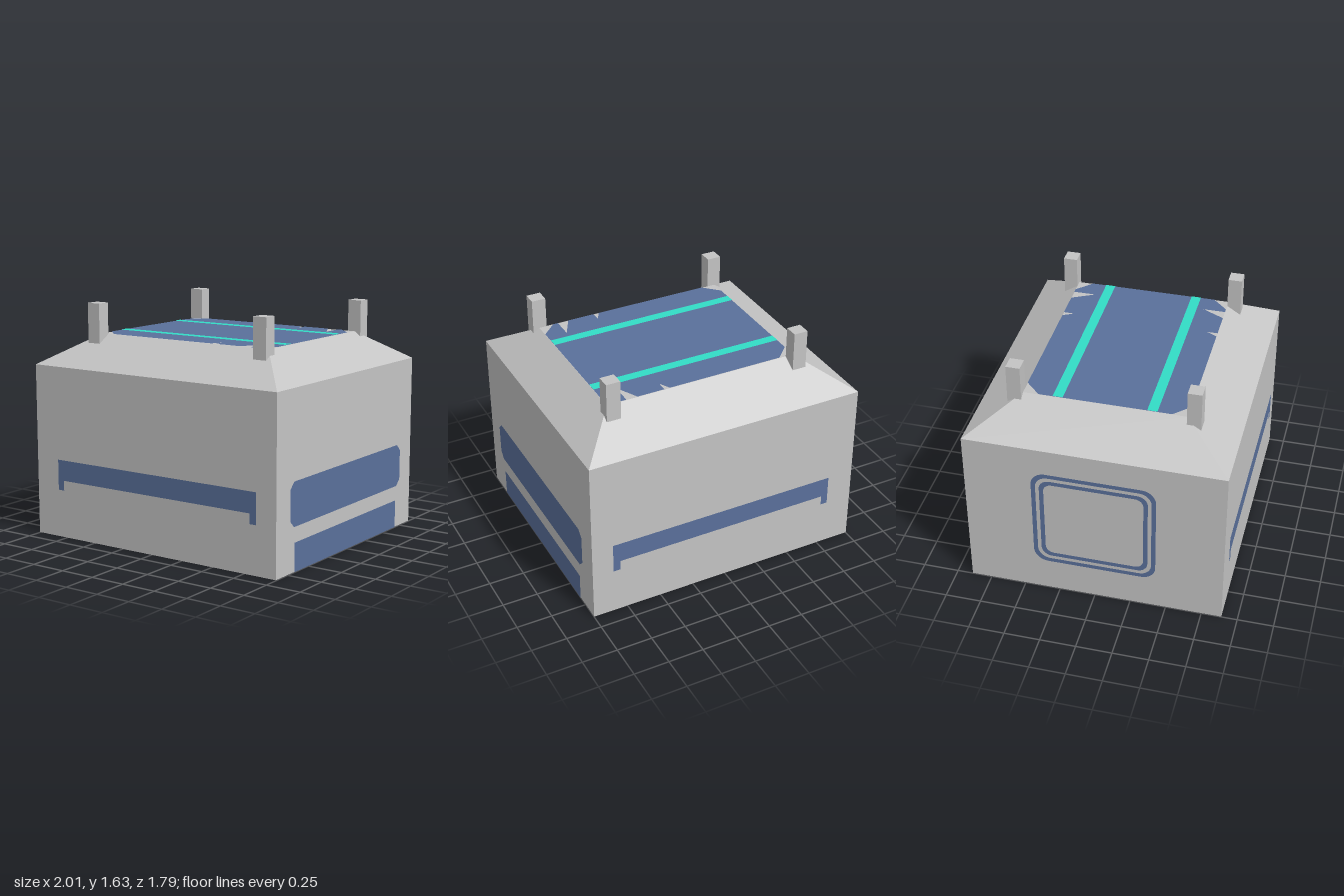
import * as THREE from 'three';

const grey = new THREE.MeshStandardMaterial({ name: 'lightGrey', color: 0xc4c4c4 });
const blue = new THREE.MeshStandardMaterial({ name: 'slateBlue', color: 0x5a709b });
const teal = new THREE.MeshStandardMaterial({ name: 'teal', color: 0x32dcc6 });

const GAP = 0.003; // lift of painted panels above the shell

// Shell: rectangular rings joined by flat quads, closed at both ends
function shellGeometry(rings) {
  const corners = rings.map(([y, x0, x1, z]) => [[x0, y, z], [x1, y, z], [x1, y, -z], [x0, y, -z]]);
  const pos = [];
  const quad = (a, b, c, d) => pos.push(...a, ...b, ...c, ...a, ...c, ...d);
  for (let r = 0; r < corners.length - 1; r++) {
    for (let i = 0; i < 4; i++) {
      const j = (i + 1) % 4;
      quad(corners[r][i], corners[r][j], corners[r + 1][j], corners[r + 1][i]);
    }
  }
  quad(...corners[0].slice().reverse());
  quad(...corners[corners.length - 1]);
  const g = new THREE.BufferGeometry();
  g.setAttribute('position', new THREE.Float32BufferAttribute(pos, 3));
  g.computeVertexNormals();
  return g;
}

const toShape = (pts) => new THREE.Shape(pts.map(([x, y]) => new THREE.Vector2(x, y)));

const rect = (x0, y0, x1, y1) => [[x0, y0], [x1, y0], [x1, y1], [x0, y1]];

// Rectangle with cut corners
function octagon(x, y0, y1, cx, cy) {
  return [[-x + cx, y0], [x - cx, y0], [x, y0 + cy], [x, y1 - cy],
    [x - cx, y1], [-x + cx, y1], [-x, y1 - cy], [-x, y0 + cy]];
}

function roundedRect(Type, w, y0, y1, r) {
  const s = new Type();
  s.absarc(w - r, y0 + r, r, -Math.PI / 2, 0);
  s.absarc(w - r, y1 - r, r, 0, Math.PI / 2);
  s.absarc(-w + r, y1 - r, r, Math.PI / 2, Math.PI);
  s.absarc(-w + r, y0 + r, r, Math.PI, Math.PI * 1.5);
  s.closePath();
  return s;
}

export function createModel() {
  const model = new THREE.Group();
  model.name = 'storageModule';

  const add = (name, geometry, material) => {
    const mesh = new THREE.Mesh(geometry, material);
    mesh.name = name;
    model.add(mesh);
    return mesh;
  };
  // Flat painted panel, turned to face outwards
  const panel = (name, shape, material, rx, ry, position) => {
    const mesh = add(name, new THREE.ShapeGeometry(shape, 6), material);
    mesh.rotation.set(rx, ry, 0);
    mesh.position.set(...position);
  };

  // Box body with a sloped roof
  add('body', shellGeometry([
    [GAP, -1, 1, 0.89],
    [1.21, -1, 1, 0.89],
    [1.415, -0.675, 0.715, 0.555],
  ]), grey);

  // Four corner posts on the roof
  for (const x of [-0.67, 0.71]) {
    for (const z of [-0.603, 0.603]) {
      const post = add('cornerPost', new THREE.BoxGeometry(0.1, 0.285, 0.096), grey);
      post.position.set(x, 1.4925, z);
    }
  }

  // Front and back bars with a short tab at each end
  const bar = [[-0.81, 0.34], [-0.76, 0.34], [-0.76, 0.41], [0.8, 0.41],
    [0.8, 0.34], [0.85, 0.34], [0.85, 0.555], [-0.81, 0.555]];
  panel('frontBar', toShape(bar), blue, 0, 0, [0, 0, 0.89 + GAP]);
  panel('backBar', toShape(bar.map(([x, y]) => [-x, y])), blue, 0, Math.PI, [0, 0, -0.89 - GAP]);

  // Bands on the model's left side
  panel('sideBand', toShape(octagon(0.73, 0.305, 0.605, 0.045, 0.045)), blue, 0, Math.PI / 2, [1 + GAP, 0, 0]);
  panel('sideBase', toShape(rect(-0.675, GAP, 0.675, 0.2)), blue, 0, Math.PI / 2, [1 + GAP, 0, 0]);

  // Double hatch outline on the model's right side
  for (const inset of [0, 0.055]) {
    const ring = roundedRect(THREE.Shape, 0.425 - inset, 0.25 + inset, 1.02 - inset, 0.1 - inset / 2);
    const d = inset + 0.03;
    ring.holes.push(roundedRect(THREE.Path, 0.425 - d, 0.25 + d, 1.02 - d, 0.1 - d / 2));
    panel('hatchOutline', ring, blue, 0, -Math.PI / 2, [-1 - GAP, 0, 0]);
  }

  // Roof panel with cut corners and two notches along each long edge
  const edge = [[-0.675, 0.45], [-0.57, 0.555], [0.26, 0.555], [0.3, 0.48], [0.3, 0.555],
    [0.495, 0.555], [0.575, 0.4], [0.575, 0.555], [0.61, 0.555], [0.715, 0.45]];
  const roof = [...edge, ...edge.map(([x, y]) => [x, -y]).reverse()];
  panel('roofPanel', toShape(roof), blue, -Math.PI / 2, 0, [0, 1.415 + GAP, 0]);
  for (const z of [-0.318, 0.318]) {
    panel('roofStripe', toShape(rect(-0.675, -0.034, 0.715, 0.034)), teal,
      -Math.PI / 2, 0, [0, 1.415 + 2 * GAP, z]);
  }

  // Underside panel
  panel('bottomPanel', toShape(octagon(0.95, -0.82, 0.82, 0.13, 0.1)), blue, Math.PI / 2, 0, [0, 0, 0]);

  return model;
}
